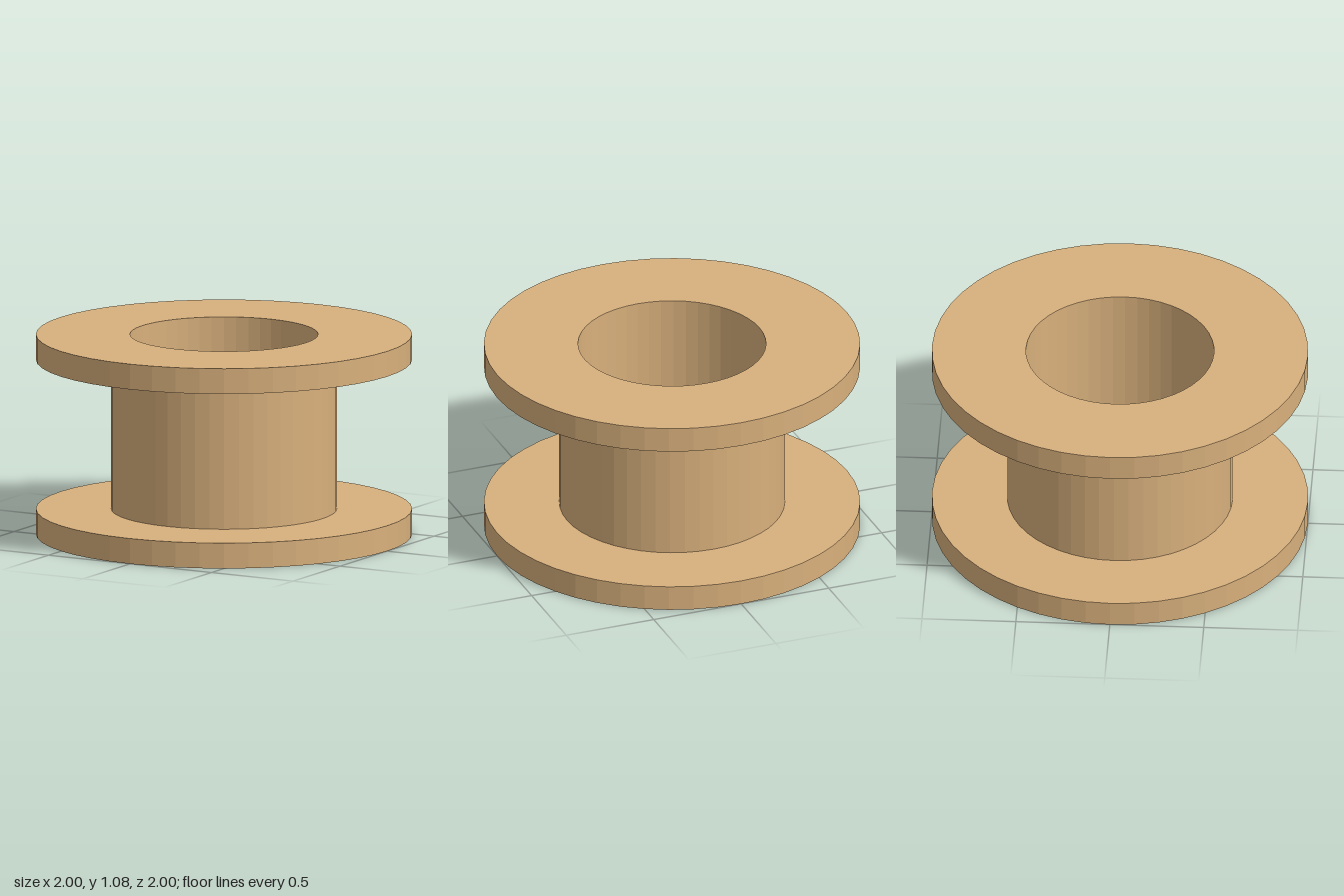
import * as THREE from 'three';

const SIDES = 48;
const OUTER = 1, CORE = 0.6, BORE = 0.5;
const HEIGHT = 1.08, RIM = 0.137;

export function createModel() {
  const group = new THREE.Group();
  group.name = 'spool';
  const material = new THREE.MeshStandardMaterial({ color: 0xd8b07c, flatShading: true });

  // Turns a profile, listed from the bottom up its outside, into a named part
  const turn = (name, profile) => {
    const points = profile.map(([r, y]) => new THREE.Vector2(r, y));
    const mesh = new THREE.Mesh(new THREE.LatheGeometry(points, SIDES), material);
    mesh.name = name;
    group.add(mesh);
  };

  // Solid bottom flange, which also forms the floor of the bore
  turn('bottomFlange', [[0, 0], [OUTER, 0], [OUTER, RIM], [0, RIM]]);

  // Hollow core: outer wall and bore wall
  turn('coreOuterWall', [[CORE, RIM], [CORE, HEIGHT - RIM]]);
  turn('coreBore', [[BORE, HEIGHT - RIM], [BORE, RIM]]);

  // Ring-shaped top flange, open to the bore
  turn('topFlange', [
    [BORE, HEIGHT - RIM], [OUTER, HEIGHT - RIM], [OUTER, HEIGHT],
    [BORE, HEIGHT], [BORE, HEIGHT - RIM],
  ]);

  return group;
}
